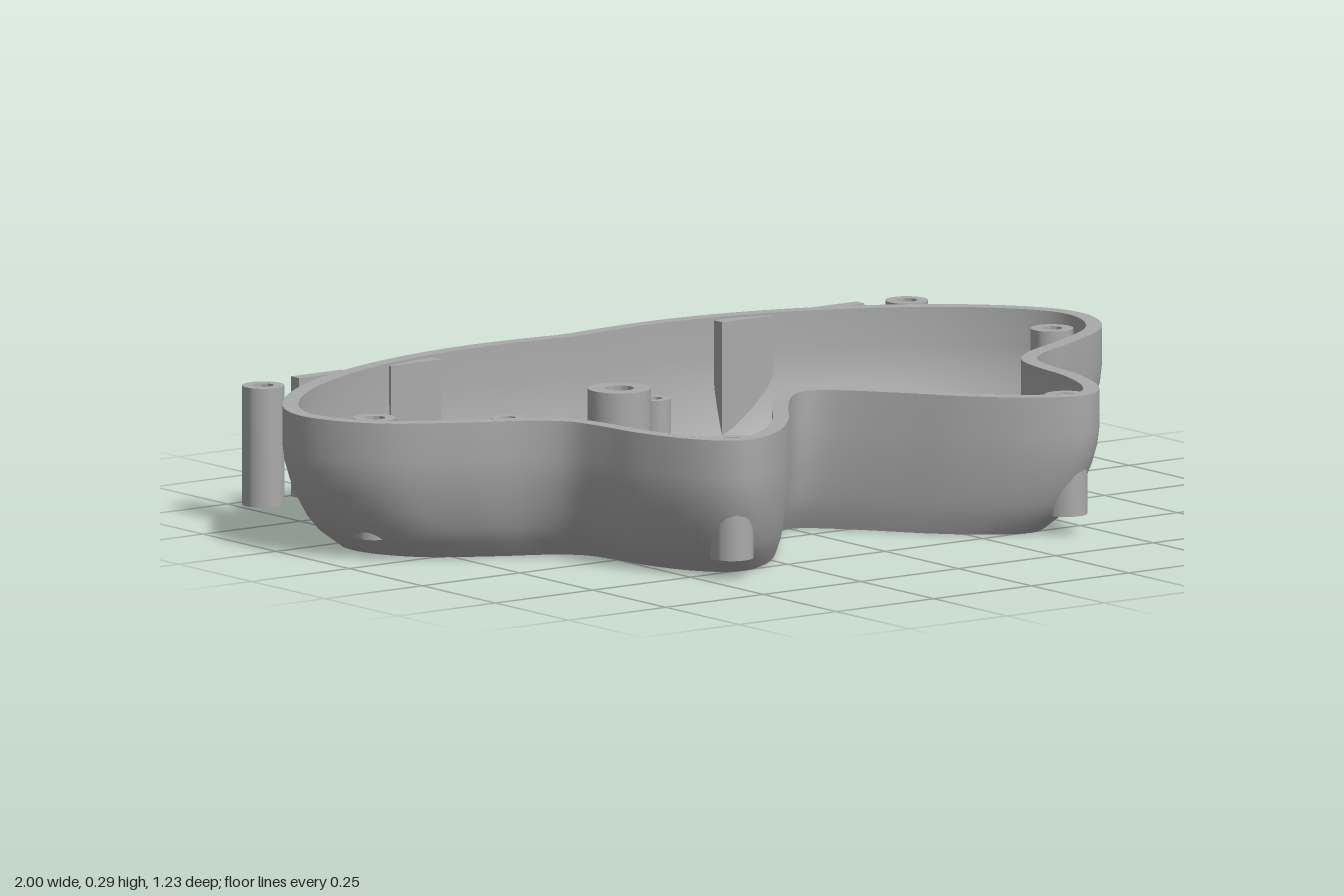
import * as THREE from 'three';
import { toCreasedNormals } from 'three/addons/utils/BufferGeometryUtils.js';

const HEIGHT = 0.295;
const FLOOR = 0.04;
const WALL = 0.033;
const CENTRE_Z = -0.16; // the tray tapers towards this point

// Right half of the butterfly outline (x, z), from back centre to front notch
const HALF = [
  [0, -0.6], [0.1, -0.61], [0.23, -0.616], [0.38, -0.602], [0.55, -0.56], [0.72, -0.486],
  [0.87, -0.382], [0.97, -0.265], [1.0, -0.18], [0.985, -0.09], [0.92, 0.01], [0.78, 0.1],
  [0.655, 0.165], [0.6, 0.22], [0.58, 0.3], [0.565, 0.41], [0.52, 0.535], [0.47, 0.595],
  [0.42, 0.61], [0.33, 0.57], [0.23, 0.475], [0.14, 0.355], [0.07, 0.27], [0.03, 0.235], [0, 0.226],
];

function outline() {
  const mirrored = HALF.slice(1, -1).reverse().map(([x, z]) => [-x, z]);
  const points = [...HALF, ...mirrored].map(([x, z]) => new THREE.Vector3(x, 0, z));
  return new THREE.CatmullRomCurve3(points, true, 'centripetal').getSpacedPoints(240).slice(0, -1);
}

// Shift a closed ring inwards by a fixed distance
function inset(ring, distance) {
  const n = ring.length;
  return ring.map((p, i) => {
    const t = ring[(i + 1) % n].clone().sub(ring[(i + n - 1) % n]).normalize();
    return new THREE.Vector3(p.x - t.z * distance, 0, p.z + t.x * distance);
  });
}

function scaled(ring, s, y) {
  return ring.map((p) => new THREE.Vector3(p.x * s, y, CENTRE_Z + (p.z - CENTRE_Z) * s));
}

// Skin a stack of closed rings
function loft(rings) {
  const n = rings[0].length;
  const positions = rings.flat().flatMap((p) => [p.x, p.y, p.z]);
  const index = [];
  for (let j = 0; j < rings.length - 1; j++) {
    for (let i = 0; i < n; i++) {
      const a = j * n + i;
      const b = j * n + ((i + 1) % n);
      index.push(a, a + n, b, b, a + n, b + n);
    }
  }
  const geometry = new THREE.BufferGeometry();
  geometry.setAttribute('position', new THREE.Float32BufferAttribute(positions, 3));
  geometry.setIndex(index);
  return toCreasedNormals(geometry, 0.7);
}

// Flat sheet filling a ring, facing up (1) or down (-1)
function sheet(ring, facing) {
  const shape = new THREE.Shape(ring.map((p) => new THREE.Vector2(p.x, -p.z * facing)));
  return new THREE.ShapeGeometry(shape).rotateX((-facing * Math.PI) / 2).translate(0, ring[0].y, 0);
}

// Hollow screw post
function postGeometry(radius, hole, bottom, top) {
  const profile = [[radius, bottom], [radius, top], [hole, top], [hole, bottom], [radius, bottom]];
  const lathe = new THREE.LatheGeometry(profile.map(([r, y]) => new THREE.Vector2(r, y)), 32);
  return toCreasedNormals(lathe, 0.6);
}

export function createModel() {
  const model = new THREE.Group();
  model.name = 'butterflyTray';
  const grey = new THREE.MeshStandardMaterial({ color: 0xaaaaaa });
  grey.name = 'grey plastic';

  function add(name, geometry, x = 0, y = 0, z = 0) {
    const mesh = new THREE.Mesh(geometry, grey);
    mesh.name = name;
    mesh.position.set(x, y, z);
    model.add(mesh);
  }

  // Shell: rounded outer wall, flat rim and inner wall
  const outer = outline();
  const inner = inset(outer, WALL);
  const outerRings = [
    [0.865, 0], [0.915, 0.035], [0.942, 0.065], [0.963, 0.1], [0.982, 0.14], [0.995, 0.18], [1, 0.215], [1, HEIGHT],
  ].map(([s, y]) => scaled(outer, s, y));
  const innerRings = [
    [1, HEIGHT], [1, 0.215], [0.994, 0.18], [0.981, 0.14], [0.96, 0.1], [0.938, 0.065], [0.918, FLOOR],
  ].map(([s, y]) => scaled(inner, s, y));
  add('wall', loft([...outerRings, ...innerRings]));
  add('floor', sheet(innerRings.at(-1), 1));
  add('underside', sheet(outerRings[0], -1));

  // Central post on the floor
  add('centrePost', postGeometry(0.065, 0.03, FLOOR, 0.21), 0, 0, -0.41);

  const tall = postGeometry(0.044, 0.021, FLOOR, 0.288);
  const short = postGeometry(0.034, 0.016, FLOOR, 0.15);
  const plate = new THREE.BoxGeometry(0.13, 0.25, 0.028);
  for (const [side, s] of [['left', 1], ['right', -1]]) {
    // Tall posts in the wing tips and outside the back
    add(`${side}OutsidePost`, tall, s * 0.825, 0, -0.527);
    add(`${side}WingPost`, tall, s * 0.868, 0, -0.088);
    add(`${side}FrontPost`, tall, s * 0.428, 0, 0.547);
    // Short posts on the floor
    add(`${side}BackShortPost`, short, s * 0.188, 0, -0.54);
    add(`${side}FrontShortPost`, short, s * 0.188, 0, 0.163);
    // Upright plates along the back
    add(`${side}InnerPlate`, plate, s * 0.425, 0.165, -0.552);
    add(`${side}OuterPlate`, plate, s * 0.66, 0.165, -0.552);
  }

  // Small tab on the back wall
  add('backTab', new THREE.BoxGeometry(0.16, 0.078, 0.045), 0, 0.079, -0.593);

  return model;
}
